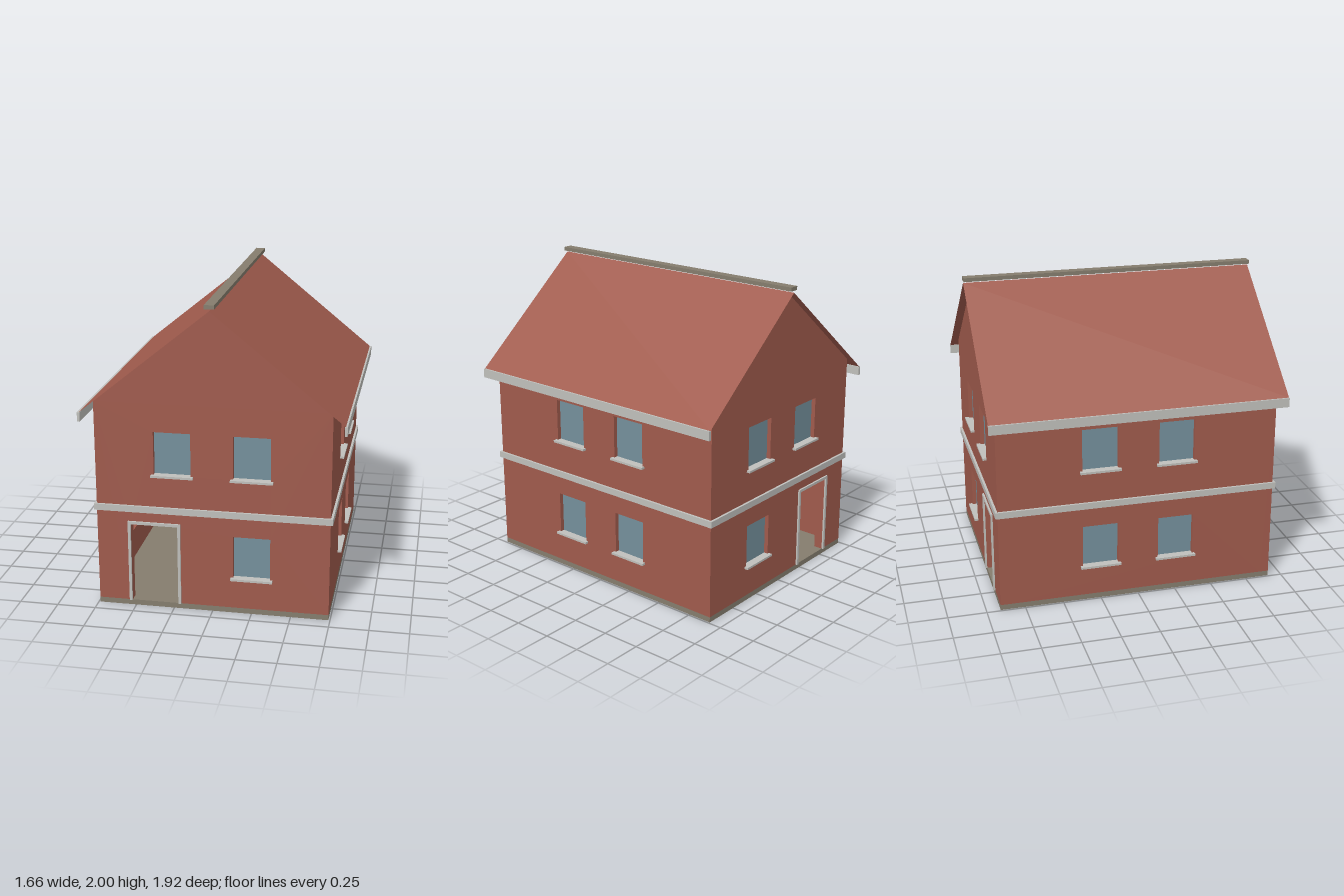
import * as THREE from 'three';

const material = (name, color) => {
  const m = new THREE.MeshStandardMaterial({ color });
  m.name = name;
  return m;
};

export function createModel() {
  const brick = material('red brick', 0xa05b4d);
  const roofTile = material('red roof', 0xa05b4d);
  roofTile.side = THREE.DoubleSide;
  const trim = material('pale trim', 0xc0c0bc);
  const stone = material('grey brown stone', 0x857d6e);
  const glass = material('blue grey glass', 0x75909c);

  const house = new THREE.Group();
  house.name = 'house';

  const W = 0.74, D = 0.91, T = 0.06;      // half width, half depth, wall thickness
  const BASE = 0.035, EAVES = 1.36, APEX = 1.96;

  const add = (parent, name, geometry, mat, x = 0, y = 0, z = 0) => {
    const mesh = new THREE.Mesh(geometry, mat);
    mesh.name = name;
    mesh.position.set(x, y, z);
    parent.add(mesh);
    return mesh;
  };
  // box given by its lower and upper corner
  const box = (parent, name, mat, a, b) => add(parent, name,
    new THREE.BoxGeometry(b[0] - a[0], b[1] - a[1], b[2] - a[2]), mat,
    (a[0] + b[0]) / 2, (a[1] + b[1]) / 2, (a[2] + b[2]) / 2);
  const polygon = (points, Type = THREE.Shape) =>
    new Type(points.map(p => new THREE.Vector2(p[0], p[1])));
  const rect = (x0, y0, x1, y1) => [[x0, y0], [x1, y0], [x1, y1], [x0, y1]];
  const extrude = (shape, depth) =>
    new THREE.ExtrudeGeometry(shape, { depth, bevelEnabled: false });

  // One wall whose outer face lies at local z = 0, turned to face outwards
  function wall(name, outline, angle, distance, windows, doorX) {
    const group = new THREE.Group();
    group.name = name;
    group.rotation.y = angle;
    group.position.set(Math.sin(angle) * distance, 0, Math.cos(angle) * distance);
    house.add(group);

    const shape = polygon(outline);
    for (const [x, y] of windows) {
      const h = 0.283;
      shape.holes.push(polygon(rect(x - 0.117, y, x + 0.117, y + h), THREE.Path));
      box(group, 'windowPane', glass, [x - 0.117, y, -0.036], [x + 0.117, y + h, -0.028]);
      box(group, 'windowSill', trim, [x - 0.133, y - 0.008, -0.028], [x + 0.133, y + 0.006, 0.025]);
    }
    if (doorX !== undefined) {
      const l = doorX - 0.151, r = doorX + 0.151, f = 0.018;
      // the opening runs down to the floor, so it is cut into the outline
      shape.curves = polygon([outline[0], [l, BASE], [l, 0.563], [r, 0.563], [r, BASE],
        ...outline.slice(1)]).curves;
      const frame = polygon([[l - f, BASE], [l, BASE], [l, 0.563], [r, 0.563], [r, BASE],
        [r + f, BASE], [r + f, 0.581], [l - f, 0.581]]);
      add(group, 'doorFrame', extrude(frame, 0.012), trim);
    }
    add(group, 'wallBody', extrude(shape, T), brick, 0, 0, -T);
  }

  // Gable walls with a door on the same side of the house
  const gable = [[-W, BASE], [W, BASE], [W, EAVES], [0, APEX], [-W, EAVES]];
  const LOW = 0.237, HIGH = 0.898;
  wall('frontWall', gable, 0, D, [[-0.25, HIGH], [0.25, HIGH], [0.25, LOW]], -0.372);
  wall('backWall', gable, Math.PI, D, [[-0.25, HIGH], [0.25, HIGH], [-0.25, LOW]], 0.372);

  // Long side walls
  const inner = D - T;
  const sideWindows = [-0.25, 0.25].flatMap(x => [[x, LOW], [x, HIGH]]);
  for (const s of [1, -1]) {
    wall(s > 0 ? 'leftWall' : 'rightWall', rect(-inner, BASE, inner, EAVES),
      s * Math.PI / 2, W, sideWindows);
  }

  // Ground slab, also the floor inside
  box(house, 'floorSlab', stone, [-W, 0, -D], [W, BASE, D]);

  // Trim band around the house between the storeys
  const band = polygon(rect(-W - 0.015, -D - 0.015, W + 0.015, D + 0.015));
  band.holes.push(polygon(rect(-W + 0.01, -D + 0.01, W - 0.01, D - 0.01), THREE.Path));
  const bandGeometry = extrude(band, 0.042);
  bandGeometry.rotateX(-Math.PI / 2);
  add(house, 'storeyBand', bandGeometry, trim, 0, 0.647, 0);

  // Thin roof slopes with eaves boards
  const L = 0.96, EDGE = 0.82, EDGE_Y = 1.297, TOP_Y = APEX + 0.003;
  const slope = Math.atan2(TOP_Y - EDGE_Y, EDGE);
  for (const s of [1, -1]) {
    const sheet = new THREE.PlaneGeometry(Math.hypot(EDGE, TOP_Y - EDGE_Y), 2 * L);
    sheet.rotateX(-Math.PI / 2);
    sheet.rotateZ(-s * slope);
    add(house, 'roofSlope', sheet, roofTile, s * EDGE / 2, (TOP_Y + EDGE_Y) / 2, 0);
    const board = new THREE.BoxGeometry(0.017, 0.06, 2 * L);
    add(house, 'eavesBoard', board, trim, s * 0.822, 1.268, 0);
  }

  // Ridge cap
  box(house, 'ridgeCap', stone, [-0.031, 1.975, -L], [0.031, 2, L]);

  return house;
}
